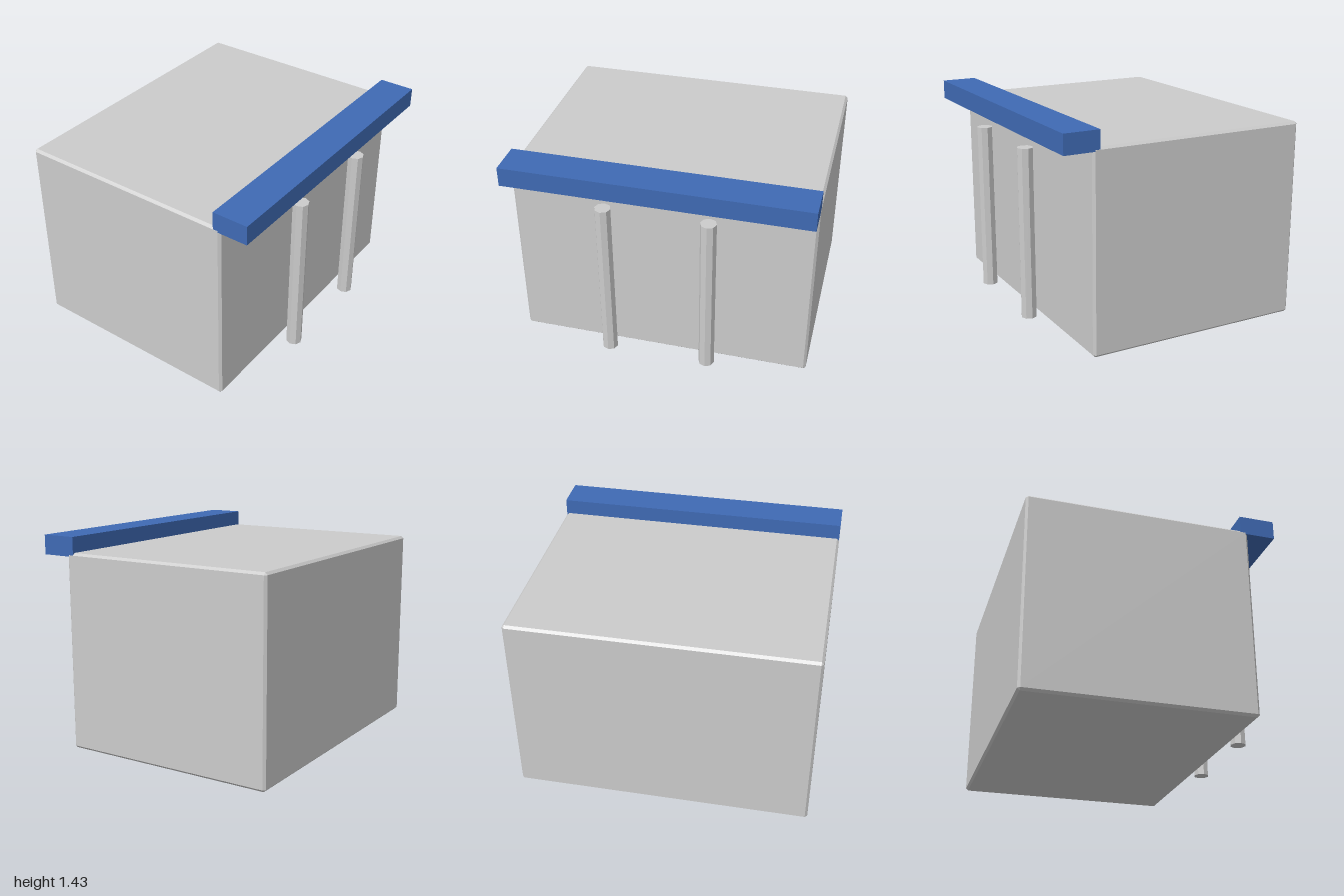
import * as THREE from 'three';
import { ConvexGeometry } from 'three/addons/geometries/ConvexGeometry.js';

// Box with every edge cut by a flat chamfer c
function chamferedBox(w, h, d, c) {
  const half = [w / 2, h / 2, d / 2];
  const points = [];
  for (const sx of [-1, 1]) for (const sy of [-1, 1]) for (const sz of [-1, 1]) {
    for (let axis = 0; axis < 3; axis++) {
      const [x, y, z] = half.map((v, i) => (i === axis ? v : v - c));
      points.push(new THREE.Vector3(sx * x, sy * y, sz * z));
    }
  }
  return new ConvexGeometry(points);
}

export function createModel() {
  const group = new THREE.Group();
  const grey = new THREE.MeshStandardMaterial({ color: 0xcccccc, flatShading: true });
  const blue = new THREE.MeshStandardMaterial({ color: 0x3f6ab4, flatShading: true });

  const add = (name, geometry, material, x, y, z) => {
    const mesh = new THREE.Mesh(geometry, material);
    mesh.name = name;
    mesh.position.set(x, y, z);
    group.add(mesh);
  };

  // Main block
  add('body', chamferedBox(2, 1.33, 1.5, 0.016), grey, 0, 0.665, -0.095);

  // Band along the top front edge, a hair narrower than the body
  add('frontBand', new THREE.BoxGeometry(1.998, 0.13, 0.24), blue, 0, 1.37, 0.725);

  // Pair of upright eight-sided bars standing clear of the front
  const bar = new THREE.CylinderGeometry(0.053, 0.053, 1.15, 8);
  add('leftBar', bar, grey, 0.34, 0.635, 0.792);
  add('rightBar', bar, grey, -0.34, 0.635, 0.792);

  return group;
}
